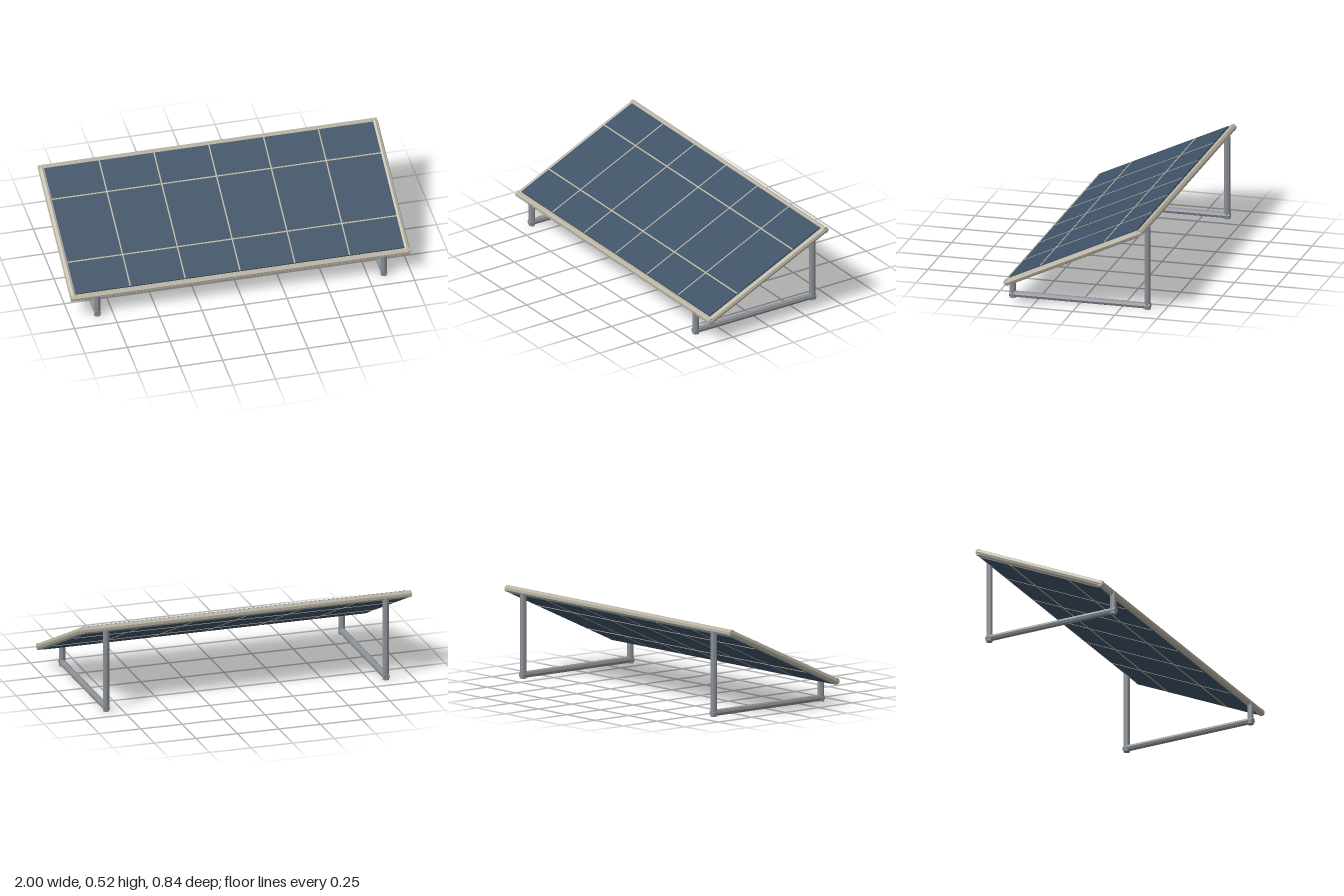
import * as THREE from 'three';

const frameMat = new THREE.MeshStandardMaterial({ color: 0xb8b2a2, flatShading: true });
const legMat = new THREE.MeshStandardMaterial({ color: 0x8a9096, flatShading: true });
const panelMat = new THREE.MeshStandardMaterial({ color: 0x3d5166, flatShading: true });

// Eight-sided tube along the given axis
function tube(name, axis, radius, length, position, material) {
  const geometry = new THREE.CylinderGeometry(radius, radius, length, 8);
  if (axis === 'x') geometry.rotateZ(Math.PI / 2);
  if (axis === 'z') geometry.rotateX(Math.PI / 2);
  const mesh = new THREE.Mesh(geometry, material);
  mesh.name = name;
  mesh.position.set(...position);
  return mesh;
}

function box(name, size, position, material) {
  const mesh = new THREE.Mesh(new THREE.BoxGeometry(...size), material);
  mesh.name = name;
  mesh.position.set(...position);
  return mesh;
}

export function createModel() {
  const model = new THREE.Group();
  model.name = 'solarPanel';

  // Tilted panel with its frame, lower edge to the front
  const panel = new THREE.Group();
  panel.name = 'tiltedPanel';
  panel.position.y = 0.318;
  panel.rotation.x = THREE.MathUtils.degToRad(25);
  model.add(panel);

  const halfW = 0.967, halfD = 0.419;
  panel.add(box('cellSheet', [halfW * 2, 0.044, halfD * 2], [0, 0, 0], panelMat));

  // Grid strips, slightly proud of both faces
  for (let i = -2; i <= 2; i++) {
    panel.add(box('crossStrip', [0.008, 0.047, halfD * 2], [i * halfW / 3, 0, 0], frameMat));
  }
  for (const s of [-1, 1]) {
    panel.add(box('longStrip', [halfW * 2, 0.049, 0.008], [0, 0, s * halfD / 2], frameMat));
    // Frame rails
    panel.add(tube('longRail', 'x', 0.02, 1.99, [0, 0, s * 0.433], frameMat));
    panel.add(tube('sideRail', 'z', 0.02, 0.885, [s * 0.98, 0, 0], frameMat));
  }

  // Two support stands: short front leg, tall back leg and a base tube
  for (const s of [-1, 1]) {
    const stand = new THREE.Group();
    stand.name = s > 0 ? 'leftStand' : 'rightStand';
    stand.position.x = s * 0.842;
    stand.add(tube('frontLeg', 'y', 0.019, 0.137, [0, 0.0685, 0.4], legMat));
    stand.add(tube('backLeg', 'y', 0.019, 0.496, [0, 0.248, -0.4], legMat));
    stand.add(tube('baseTube', 'z', 0.019, 0.836, [0, 0.021, 0], legMat));
    model.add(stand);
  }
  return model;
}
